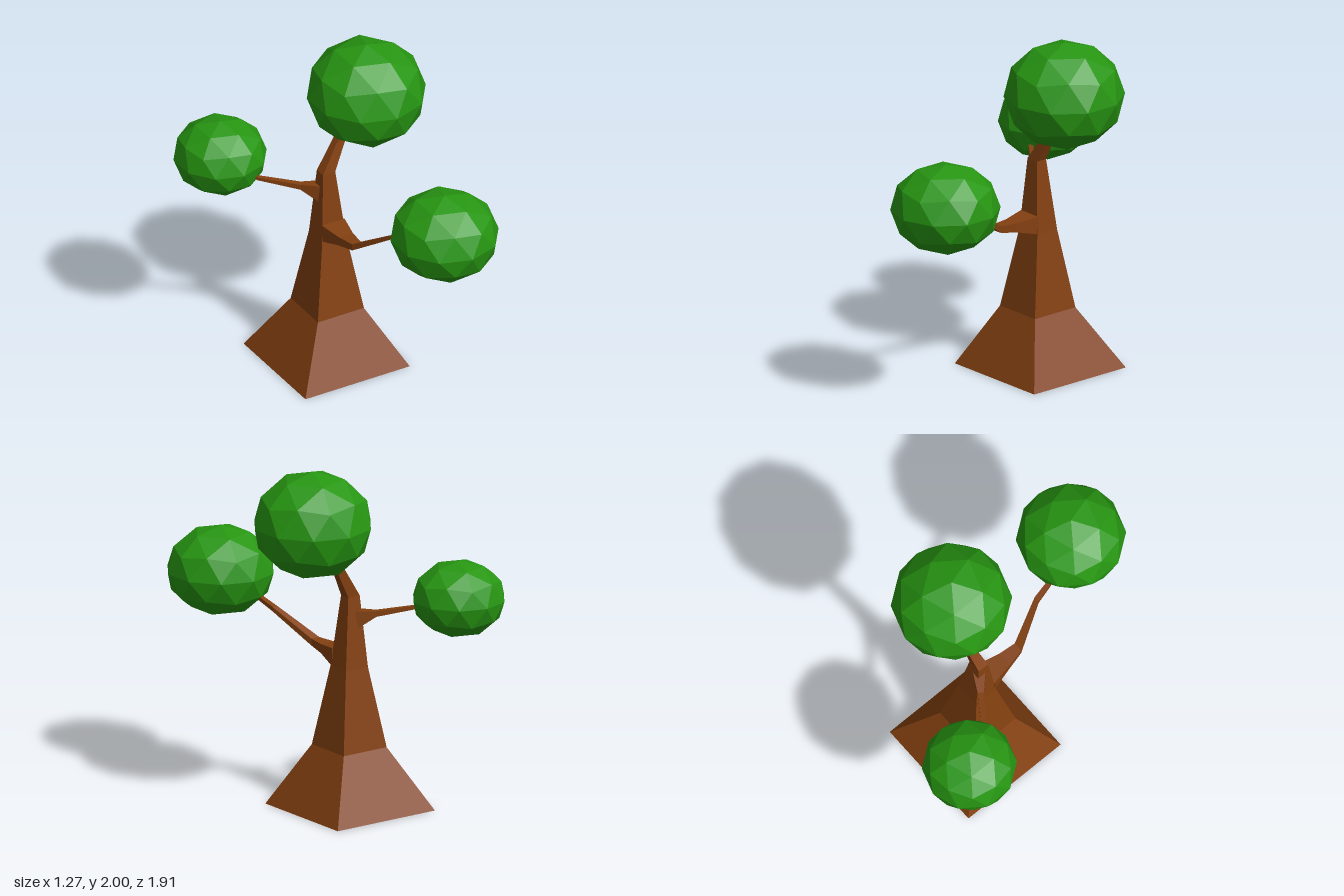
import * as THREE from 'three';

// Square-section loft through [x, y, z, halfU, halfV] stations; u x v is the direction of travel.
function loft(stations, u, v) {
  const signs = [[-1, -1], [1, -1], [1, 1], [-1, 1]];
  const rings = stations.map(([x, y, z, hu, hv]) => signs.map(([a, b]) =>
    new THREE.Vector3(x, y, z).addScaledVector(u, a * hu).addScaledVector(v, b * hv)));
  const points = [];
  const quad = (a, b, c, d) => points.push(a, b, c, a, c, d);
  for (let i = 0; i < rings.length - 1; i++) {
    for (let j = 0; j < 4; j++) {
      const k = (j + 1) % 4;
      quad(rings[i][j], rings[i][k], rings[i + 1][k], rings[i + 1][j]);
    }
  }
  const first = rings[0], last = rings[rings.length - 1];
  quad(first[3], first[2], first[1], first[0]);
  quad(last[0], last[1], last[2], last[3]);
  const geometry = new THREE.BufferGeometry().setFromPoints(points);
  geometry.computeVertexNormals(); // unshared corners give flat faces
  return geometry;
}

export function createModel() {
  const tree = new THREE.Group();
  tree.name = 'tree';

  const bark = new THREE.MeshStandardMaterial({ color: 0x834010 });
  bark.name = 'bark brown';
  const leaf = new THREE.MeshStandardMaterial({ color: 0x279612 });
  leaf.name = 'leaf green';

  const add = (name, geometry, material) => {
    const mesh = new THREE.Mesh(geometry, material);
    mesh.name = name;
    tree.add(mesh);
    return mesh;
  };
  const up = new THREE.Vector3(0, 1, 0);

  // Trunk: flared foot, tapering shaft, tip leaning into the crown
  add('trunk', loft([
    [0.065, 0, -0.265, 0.34, 0.34],
    [0.06, 0.355, -0.25, 0.15, 0.15],
    [0.062, 0.82, -0.252, 0.073, 0.077],
    [0.052, 1.235, -0.25, 0.034, 0.04],
    [0.145, 1.4, -0.267, 0.023, 0.028],
    [0.24, 1.58, -0.27, 0.02, 0.02],
  ], new THREE.Vector3(0, 0, 1), new THREE.Vector3(1, 0, 0)), bark);

  // Branches: stations run outward along a horizontal heading
  const addBranch = (name, dx, dz, stations) => {
    const heading = new THREE.Vector3(dx, 0, dz).normalize();
    add(name, loft(stations, up.clone().cross(heading), up), bark);
  };
  addBranch('frontBranch', 0, 1, [
    [0.062, 0.872, -0.19, 0.074, 0.053],
    [0.064, 0.884, -0.05, 0.045, 0.027],
    [0.07, 0.895, 0.055, 0.028, 0.02],
    [0.178, 1.048, 0.285, 0.017, 0.013],
    [0.2, 1.095, 0.41, 0.014, 0.011],
    [0.27, 1.17, 0.58, 0.012, 0.01],
  ]);
  addBranch('backBranch', -0.83, -0.56, [
    [0.03, 1.095, -0.265, 0.035, 0.055],
    [-0.065, 1.128, -0.335, 0.018, 0.016],
    [-0.26, 1.167, -0.475, 0.013, 0.009],
    [-0.36, 1.2, -0.6, 0.011, 0.008],
  ]);

  // Foliage: faceted balls with a vertex straight up, slightly squashed
  const tilt = -Math.atan(2 / (1 + Math.sqrt(5)));
  const addFoliage = (name, x, y, z, radius, halfHeight) => {
    const geometry = new THREE.IcosahedronGeometry(1, 1);
    geometry.rotateZ(tilt).scale(radius, halfHeight, radius);
    geometry.computeVertexNormals();
    add(name, geometry, leaf).position.set(x, y, z);
  };
  addFoliage('topFoliage', 0.305, 1.69, -0.235, 0.342, 0.31);
  addFoliage('frontFoliage', 0.297, 1.217, 0.64, 0.311, 0.258);
  addFoliage('backFoliage', -0.38, 1.245, -0.688, 0.268, 0.22);

  return tree;
}
